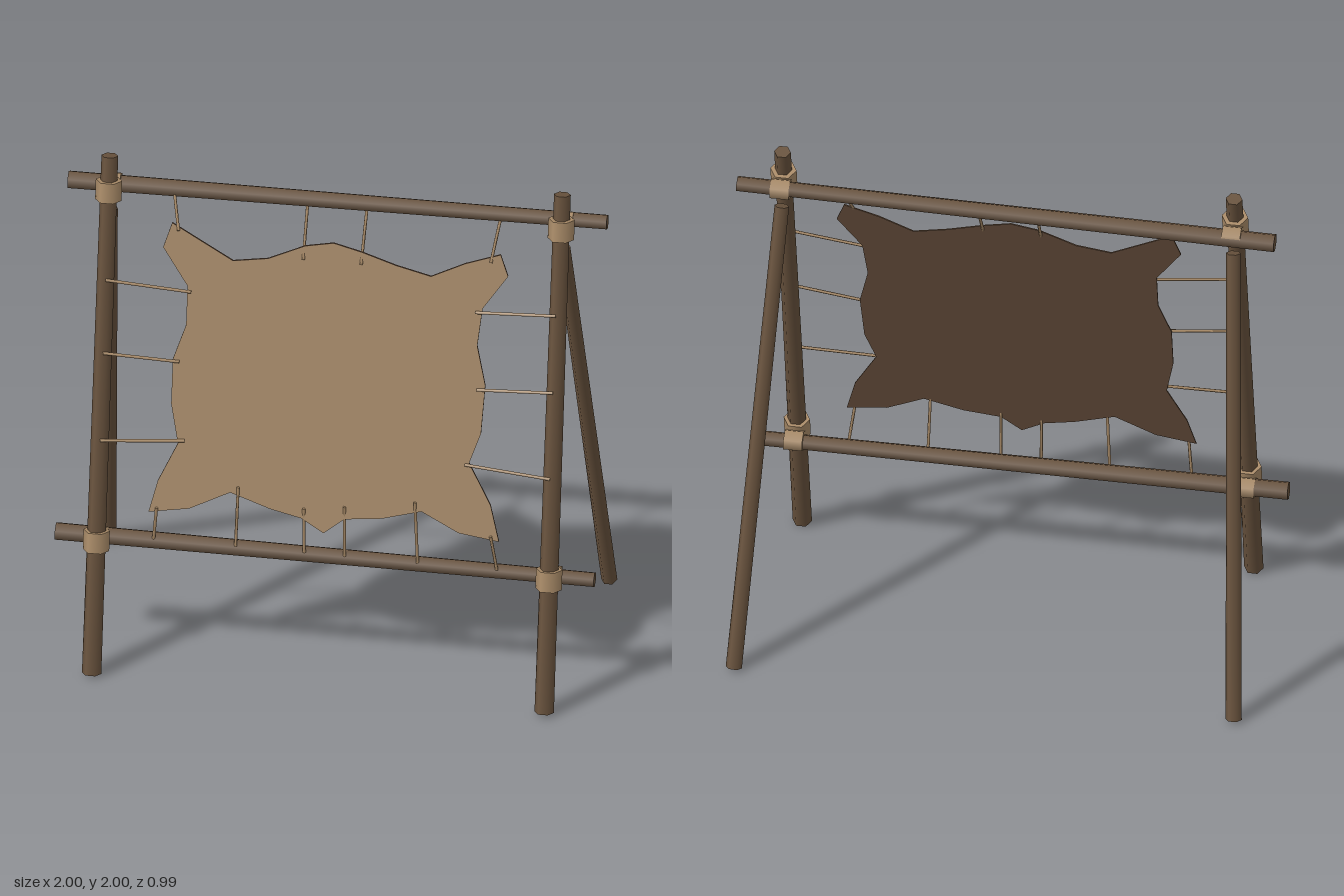
import * as THREE from 'three';

const material = (name, color) => {
  const m = new THREE.MeshStandardMaterial({ color });
  m.name = name;
  return m;
};

// Depth of the leaning front frame at height y
const LEAN = 0.211, FOOT_Z = 0.47;
const frameZ = (y) => FOOT_Z - LEAN * y;

// Hide outline, anticlockwise from the upper right corner as (x, y)
const OUTLINE = [
  [-0.60, 1.755], [-0.63, 1.66], [-0.535, 1.52], [-0.535, 1.37], [-0.58, 1.235], [-0.58, 1.065],
  [-0.55, 0.915], [-0.62, 0.765], [-0.65, 0.645], [-0.50, 0.67], [-0.35, 0.745], [-0.20, 0.695],
  [-0.085, 0.67], [0, 0.62], [0.075, 0.68], [0.215, 0.695], [0.36, 0.735], [0.50, 0.665],
  [0.65, 0.645], [0.615, 0.78], [0.53, 0.935], [0.57, 1.05], [0.58, 1.235], [0.545, 1.385],
  [0.56, 1.53], [0.65, 1.66], [0.62, 1.74], [0.49, 1.695], [0.365, 1.635], [0.235, 1.665],
  [0.105, 1.705], [0, 1.73], [-0.105, 1.71], [-0.24, 1.65], [-0.37, 1.63], [-0.49, 1.695],
];

// Cords as hide x, hide y, frame x, frame y
const TOP_CORDS = [
  [-0.575, 1.73, -0.605, 1.84], [-0.11, 1.66, -0.11, 1.84],
  [0.105, 1.66, 0.11, 1.84], [0.585, 1.71, 0.605, 1.84],
];
const SIDE_CORDS = [
  [-0.52, 1.50, -0.835, 1.53], [-0.555, 1.23, -0.835, 1.25], [-0.525, 0.93, -0.835, 0.915],
  [0.535, 1.515, 0.835, 1.54], [0.55, 1.22, 0.835, 1.245], [0.515, 0.93, 0.835, 0.915],
];
const BOTTOM_CORDS = [
  [-0.62, 0.665, -0.635, 0.51], [-0.32, 0.77, -0.33, 0.51], [-0.075, 0.71, -0.075, 0.51],
  [0.075, 0.73, 0.075, 0.51], [0.335, 0.77, 0.345, 0.51], [0.62, 0.665, 0.64, 0.51],
];

export function createModel() {
  const model = new THREE.Group();
  model.name = 'hideStretchingFrame';
  const wood = material('darkWood', 0x68523d);
  const rope = material('rope', 0xa98b68);
  const hideFace = material('hideFace', 0xa68a6a);
  const hideBack = material('hideBack', 0x624b39);

  const add = (name, geometry, mat) => {
    const mesh = new THREE.Mesh(geometry, mat);
    mesh.name = name;
    model.add(mesh);
    return mesh;
  };

  // Six-sided pole running from a to b
  const pole = (name, a, b, ra, rb, mat, sides = 6) => {
    const start = new THREE.Vector3(...a), end = new THREE.Vector3(...b);
    const dir = end.clone().sub(start);
    const geometry = new THREE.CylinderGeometry(rb, ra, dir.length(), sides);
    geometry.rotateY(Math.PI / 6);
    const mesh = add(name, geometry, mat);
    mesh.position.copy(start).add(end).multiplyScalar(0.5);
    mesh.quaternion.setFromUnitVectors(new THREE.Vector3(0, 1, 0), dir.normalize());
  };

  // Front posts, rear props and the lashings at each crossing
  for (const s of [1, -1]) {
    const side = s > 0 ? 'left' : 'right';
    const x = 0.84 * s;
    pole(side + 'Post', [x, 0.007, frameZ(0.007)], [x, 1.99, frameZ(1.99)], 0.036, 0.031, wood);
    pole(side + 'RearProp', [0.93 * s, 0.008, -0.47], [x, 1.755, 0.035], 0.03, 0.027, wood);
    for (const [level, y, barY, barZ] of [['Upper', 1.858, 1.85, 0.01], ['Lower', 0.517, 0.495, 0.298]]) {
      pole(side + level + 'PostLashing', [x, y - 0.038, frameZ(y - 0.038)],
        [x, y + 0.038, frameZ(y + 0.038)], 0.049, 0.049, rope);
      pole(side + level + 'BarLashing', [x - 0.035, barY, barZ], [x + 0.035, barY, barZ], 0.041, 0.041, rope);
    }
  }

  // Cross bars, thinner towards the left end
  pole('upperBar', [-1, 1.842, 0.005], [1, 1.858, 0.005], 0.036, 0.03, wood);
  pole('lowerBar', [-1, 0.5, 0.297], [1, 0.49, 0.297], 0.036, 0.03, wood);

  // Hide, leaning with the posts: a thin slab with a paler front face
  const shape = new THREE.Shape(OUTLINE.map(([x, y]) => new THREE.Vector2(x, y)));
  const shear = new THREE.Matrix4().set(
    1, 0, 0, 0,
    0, 1, 0, 0,
    0, -LEAN, 1, FOOT_Z,
    0, 0, 0, 1);
  const slab = new THREE.ExtrudeGeometry(shape, { depth: 0.006, bevelEnabled: false });
  add('hideBack', slab.translate(0, 0, -0.003).applyMatrix4(shear), hideBack);
  const face = new THREE.ShapeGeometry(shape);
  add('hideFace', face.translate(0, 0, 0.005).applyMatrix4(shear), hideFace);

  // Cords from the hide to the bars and posts
  const cords = (name, list, endZ) => list.forEach(([hx, hy, fx, fy]) =>
    pole(name, [hx, hy, frameZ(hy) + 0.009], [fx, fy, endZ(fy)], 0.006, 0.006, rope, 5));
  cords('topCord', TOP_CORDS, () => 0.025);
  cords('sideCord', SIDE_CORDS, (y) => frameZ(y) + 0.031);
  cords('bottomCord', BOTTOM_CORDS, () => 0.318);

  return model;
}
